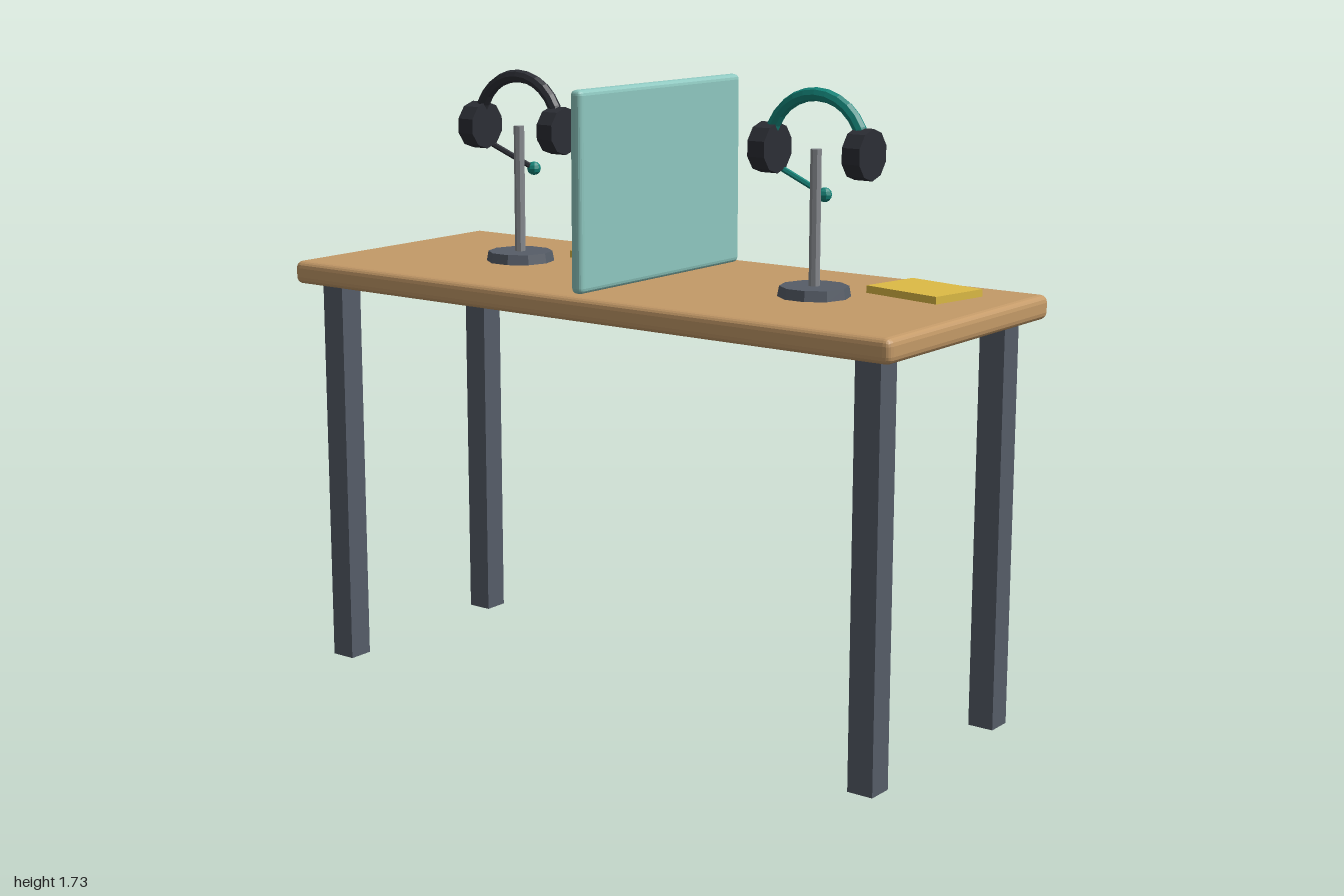
import * as THREE from 'three';
import { RoundedBoxGeometry } from 'three/addons/geometries/RoundedBoxGeometry.js';

const mat = (color) => new THREE.MeshStandardMaterial({ color, flatShading: true });
const wood = mat(0xc49a68);
const steel = mat(0x565d68);
const metal = mat(0x888b90);
const dark = mat(0x2c2e35);
const teal = mat(0x14857a);
const glass = mat(0x8ec8c0);
const yellow = mat(0xddbb45);

const TOP = 1.185; // height of the table surface

function add(parent, name, geometry, material, x = 0, y = 0, z = 0) {
  const mesh = new THREE.Mesh(geometry, material);
  mesh.name = name;
  mesh.position.set(x, y, z);
  parent.add(mesh);
  return mesh;
}

// Straight round bar between two points
function bar(parent, name, a, b, radius, material) {
  const dir = b.clone().sub(a);
  const mesh = add(parent, name, new THREE.CylinderGeometry(radius, radius, dir.length(), 6), material);
  mesh.position.copy(a).lerp(b, 0.5);
  mesh.quaternion.setFromUnitVectors(new THREE.Vector3(0, 1, 0), dir.normalize());
}

function createHeadset(accent) {
  const headset = new THREE.Group();
  headset.name = 'headset';
  const radius = 0.146;

  // Headband arches from front to back
  const band = add(headset, 'headband', new THREE.TorusGeometry(radius, 0.018, 8, 14, Math.PI), accent);
  band.rotation.y = Math.PI / 2;

  // Ear cups
  for (const side of [1, -1]) {
    const cup = add(headset, 'earCup', new THREE.CylinderGeometry(0.067, 0.067, 0.053, 10), dark, 0, 0, side * radius);
    cup.rotation.x = Math.PI / 2;
  }

  // Microphone on its boom
  const tip = new THREE.Vector3(0.133, -0.132, -0.058);
  bar(headset, 'microphoneBoom', new THREE.Vector3(0, -0.035, -radius), tip, 0.008, accent);
  add(headset, 'microphone', new THREE.SphereGeometry(0.02, 8, 6), teal, tip.x, tip.y, tip.z);
  return headset;
}

function createStation(accent, z) {
  const station = new THREE.Group();
  station.name = 'workStation';
  station.position.set(0, TOP, z);

  // Headset stand
  add(station, 'standBase', new THREE.CylinderGeometry(0.092, 0.097, 0.028, 10), steel, 0, 0.014, 0);
  add(station, 'standPost', new THREE.CylinderGeometry(0.015, 0.015, 0.36, 8), metal, 0, 0.206, 0);

  const headset = createHeadset(accent);
  headset.position.y = 0.381;
  station.add(headset);

  // Notepad lying at an angle
  const pad = add(station, 'notepad', new THREE.BoxGeometry(0.182, 0.02, 0.244), yellow, 0.19, 0.011, 0.22);
  pad.rotation.y = -0.19;
  return station;
}

export function createModel() {
  const group = new THREE.Group();
  group.name = 'sharedDesk';

  // Table
  add(group, 'tabletop', new RoundedBoxGeometry(0.8, 0.066, 2, 2, 0.02), wood, 0, TOP - 0.033, 0);
  for (const x of [-0.305, 0.305])
    for (const z of [-0.905, 0.905])
      add(group, 'tableLeg', new THREE.BoxGeometry(0.074, 1.125, 0.074), steel, x, 0.5625, z);

  // Privacy screen between the two places
  add(group, 'divider', new RoundedBoxGeometry(0.72, 0.535, 0.038, 2, 0.015), glass, 0, TOP + 0.2675, 0.01);

  // One place on each side of the screen
  group.add(createStation(teal, 0.522));
  group.add(createStation(dark, -0.487));
  return group;
}
